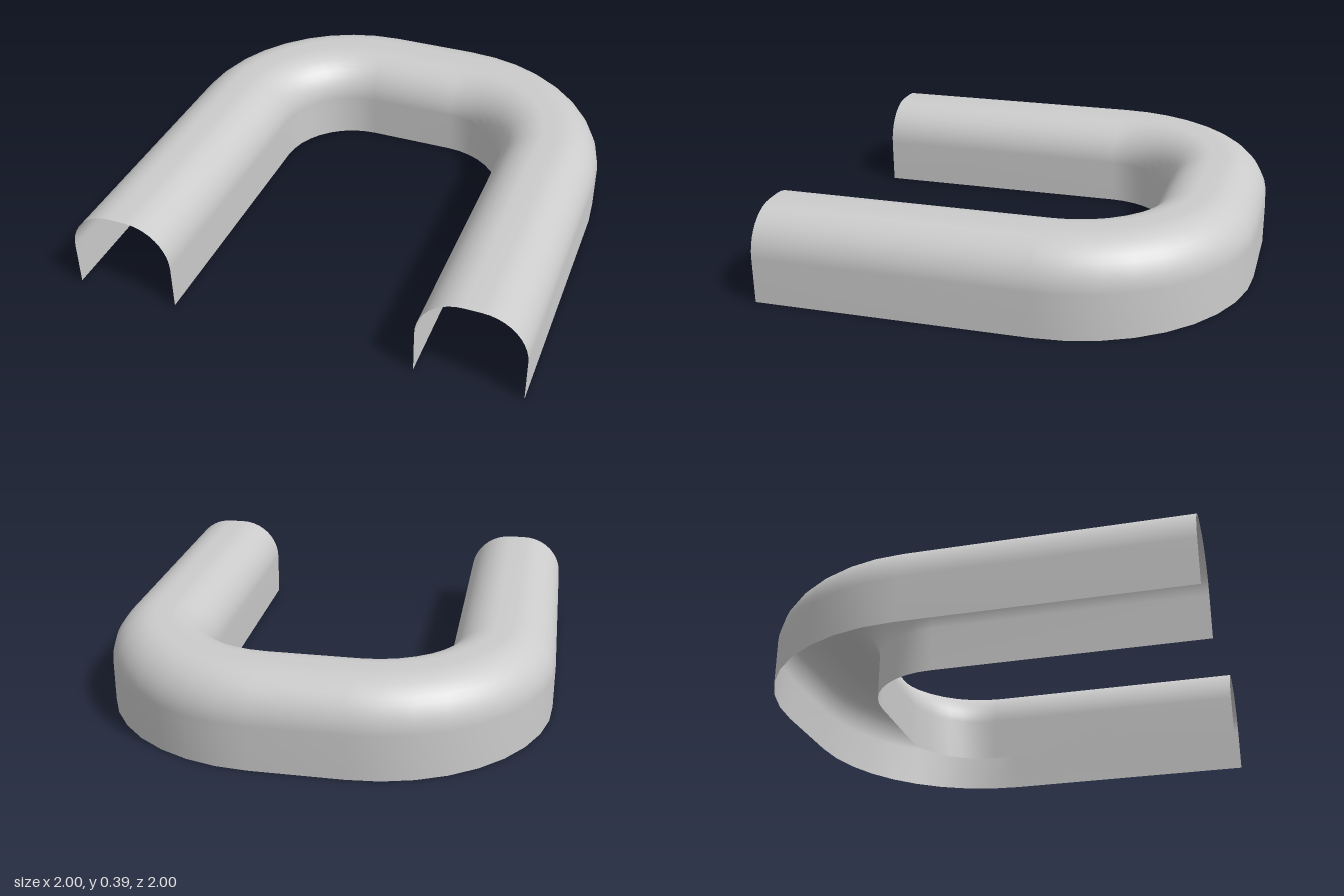
import * as THREE from 'three';

const HEIGHT = 0.393, WIDTH = 0.46, FILLET = 0.193; // channel cross-section
const BEND = 0.8, CORNER = 0.2, BEND_STEPS = 9, FILLET_STEPS = 10;

// Cross-section from outer foot to inner foot: [inset from outer edge, height]
function channelProfile() {
  const points = [[0, 0]];
  for (const side of [0, 1]) {
    for (let i = 0; i <= FILLET_STEPS; i++) {
      const a = ((side + i / FILLET_STEPS) * Math.PI) / 2;
      const centre = side ? WIDTH - FILLET : FILLET;
      points.push([centre - FILLET * Math.cos(a), HEIGHT - FILLET + FILLET * Math.sin(a)]);
    }
  }
  points.push([WIDTH, 0]);
  return points;
}

// Stations along the U: bend centre (x, z) and outward angle
function uPath() {
  const stations = [{ x: CORNER, z: 1, a: 0 }];
  for (const side of [0, 1]) {
    for (let i = 0; i <= BEND_STEPS; i++) {
      stations.push({ x: side ? -CORNER : CORNER, z: -CORNER, a: ((side + i / BEND_STEPS) * Math.PI) / 2 });
    }
  }
  stations.push({ x: -CORNER, z: 1, a: Math.PI });
  return stations;
}

// Sweep the profile along the path as one open, smooth sheet
function sweep(profile, path) {
  const positions = [], index = [], n = profile.length;
  path.forEach(({ x, z, a }, i) => {
    profile.forEach(([inset, y], j) => {
      const r = BEND - inset;
      positions.push(x + r * Math.cos(a), y, z - r * Math.sin(a));
      if (i < path.length - 1 && j < n - 1) {
        const p = i * n + j, q = p + n;
        index.push(p, q, p + 1, q, q + 1, p + 1);
      }
    });
  });
  const geometry = new THREE.BufferGeometry();
  geometry.setAttribute('position', new THREE.Float32BufferAttribute(positions, 3));
  geometry.setIndex(index);
  geometry.computeVertexNormals();
  return geometry;
}

export function createModel() {
  const group = new THREE.Group();
  const material = new THREE.MeshStandardMaterial({ color: 0xcccccc, side: THREE.DoubleSide });
  const channel = new THREE.Mesh(sweep(channelProfile(), uPath()), material);
  channel.name = 'curvedChannel';
  group.add(channel);
  return group;
}
